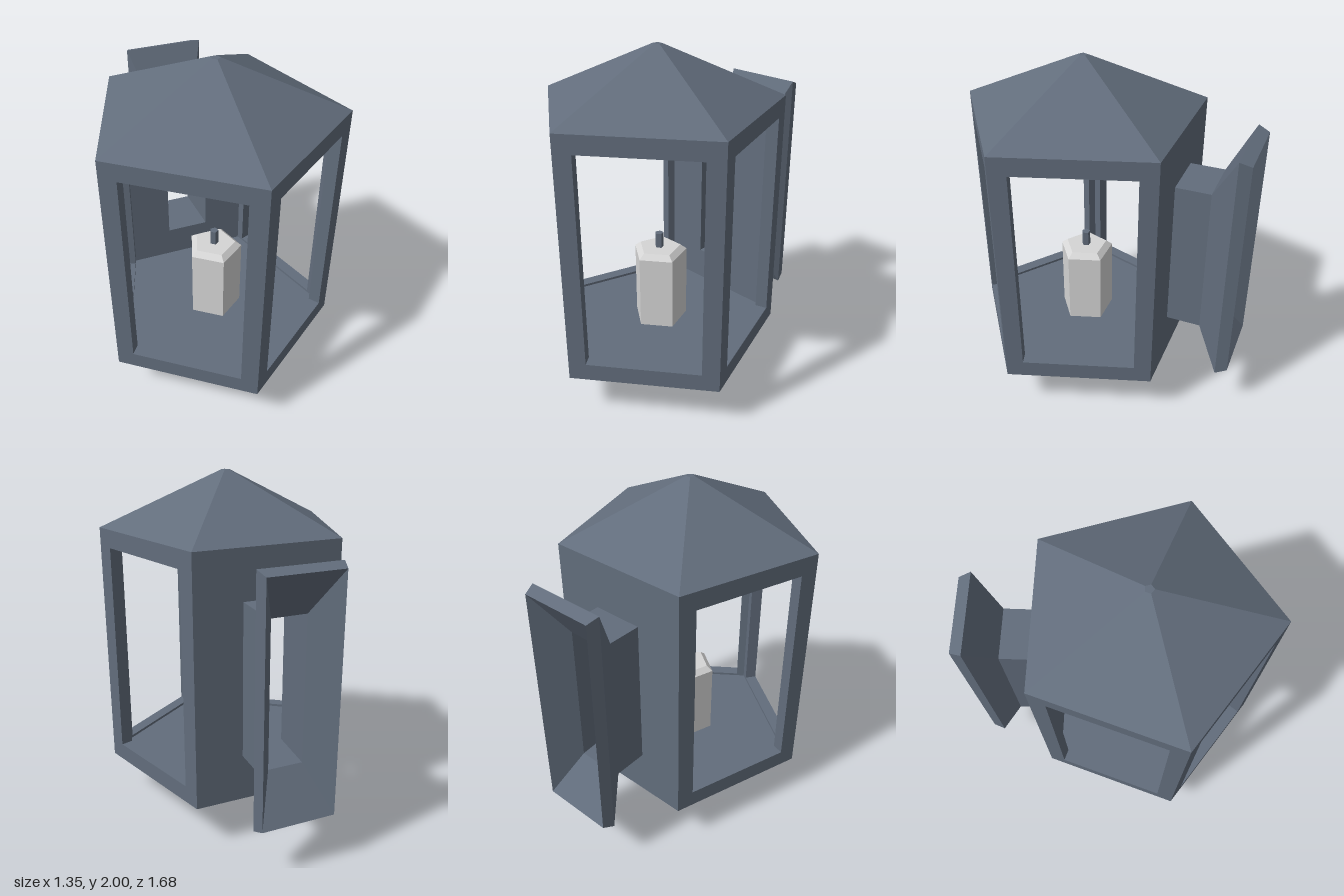
import * as THREE from 'three';

const RADIUS = 0.71, THICK = 0.07, CENTER_Z = 0.13;
const APOTHEM = RADIUS * Math.cos(Math.PI / 5);
const HALF_SIDE = RADIUS * Math.sin(Math.PI / 5);
const BOTTOM = 0.26, TOP = 1.69;

// Split corners so every face is shaded flat
function faceted(geometry) {
  const g = geometry.index ? geometry.toNonIndexed() : geometry;
  g.computeVertexNormals();
  return g;
}

// Five-sided frustum with a corner towards the front
function pentagon(rTop, rBottom, y0, y1, open = false) {
  return faceted(new THREE.CylinderGeometry(rTop, rBottom, y1 - y0, 5, 1, open).translate(0, (y0 + y1) / 2, 0));
}

// Wall slab with a rectangular opening, built facing +z
function wallGeometry(holeHalf, holeY0, holeY1) {
  const rect = (P, h, y0, y1) => new P([
    new THREE.Vector2(-h, y0), new THREE.Vector2(h, y0), new THREE.Vector2(h, y1), new THREE.Vector2(-h, y1)]);
  const shape = rect(THREE.Shape, HALF_SIDE, BOTTOM, TOP);
  shape.holes.push(rect(THREE.Path, holeHalf, holeY0, holeY1));
  return new THREE.ExtrudeGeometry(shape, { depth: THICK, bevelEnabled: false }).translate(0, 0, APOTHEM - THICK);
}

// Skin through rectangular sections [half width, bottom, top, z]
function rectLoft(sections) {
  const rings = sections.map(([w, y0, y1, z]) => [[-w, y0, z], [w, y0, z], [w, y1, z], [-w, y1, z]]);
  const pos = [];
  for (let i = 0; i < rings.length - 1; i++) {
    for (let k = 0; k < 4; k++) {
      const n = (k + 1) % 4;
      const a = rings[i][k], b = rings[i][n], c = rings[i + 1][n], d = rings[i + 1][k];
      pos.push(...a, ...d, ...c, ...a, ...c, ...b);
    }
  }
  const g = new THREE.BufferGeometry();
  g.setAttribute('position', new THREE.Float32BufferAttribute(pos, 3));
  return faceted(g);
}

// Turn a surface inside out
function inverted(geometry) {
  const p = geometry.attributes.position;
  const a = new THREE.Vector3(), b = new THREE.Vector3();
  for (let i = 0; i < p.count; i += 3) {
    a.fromBufferAttribute(p, i + 1);
    b.fromBufferAttribute(p, i + 2);
    p.setXYZ(i + 1, b.x, b.y, b.z);
    p.setXYZ(i + 2, a.x, a.y, a.z);
  }
  geometry.computeVertexNormals();
  return geometry;
}

export function createModel() {
  const model = new THREE.Group();
  model.name = 'wallLantern';
  const metal = new THREE.MeshStandardMaterial({ color: 0x626d7c });
  metal.name = 'slateMetal';
  const wax = new THREE.MeshStandardMaterial({ color: 0xd6d6d6 });
  wax.name = 'paleWax';

  const housing = new THREE.Group();
  housing.name = 'housing';
  housing.position.z = CENTER_Z;
  model.add(housing);
  const add = (parent, name, geometry, material) => {
    const mesh = new THREE.Mesh(geometry, material);
    mesh.name = name;
    parent.add(mesh);
    return mesh;
  };

  // Roof, hollow on the inside, and the pointed base with a flat floor
  const innerRadius = RADIUS - THICK / Math.cos(Math.PI / 5);
  add(housing, 'roof', pentagon(0.025, RADIUS, TOP, 2), metal);
  housing.children[0].geometry = pentagon(0.025, RADIUS, TOP, 2, true);
  add(housing, 'roofTip', pentagon(0.025, 0.025, 1.97, 2), metal);
  add(housing, 'ceiling', inverted(pentagon(0.02, innerRadius + 0.005, 1.645, 1.94, true)), metal);
  add(housing, 'base', pentagon(RADIUS, 0.028, 0, BOTTOM), metal);
  add(housing, 'floor', pentagon(innerRadius + 0.01, innerRadius + 0.01, BOTTOM, 0.345), metal);

  // Four window frames and the back wall with the bracket opening
  for (let i = 0; i < 5; i++) {
    const back = i === 2;
    const geometry = back ? wallGeometry(0.127, 0.54, 1.393) : wallGeometry(0.32, 0.36, 1.587);
    const wall = add(housing, back ? 'backWall' : 'windowFrame', geometry, metal);
    wall.rotation.y = Math.PI / 5 + i * Math.PI * 0.4;
  }

  // Candle with chamfered top and wick
  const candle = new THREE.Group();
  candle.name = 'candle';
  housing.add(candle);
  add(candle, 'candleBody', pentagon(0.162, 0.162, 0.345, 0.785), wax);
  add(candle, 'candleTop', pentagon(0.125, 0.162, 0.785, 0.815), wax);
  add(candle, 'wick', pentagon(0.025, 0.025, 0.81, 0.905), metal);

  // Hollow wall bracket: neck, flared mount, dished back and tunnel
  add(model, 'wallBracket', rectLoft([
    [0.145, 0.53, 1.41, -0.44],
    [0.145, 0.53, 1.41, -0.64],
    [0.23, 0.28, 1.665, -0.775],
    [0.21, 0.305, 1.64, -0.84],
    [0.1, 0.555, 1.385, -0.67],
    [0.125, 0.545, 1.39, -0.375],
  ]), metal);

  return model;
}
